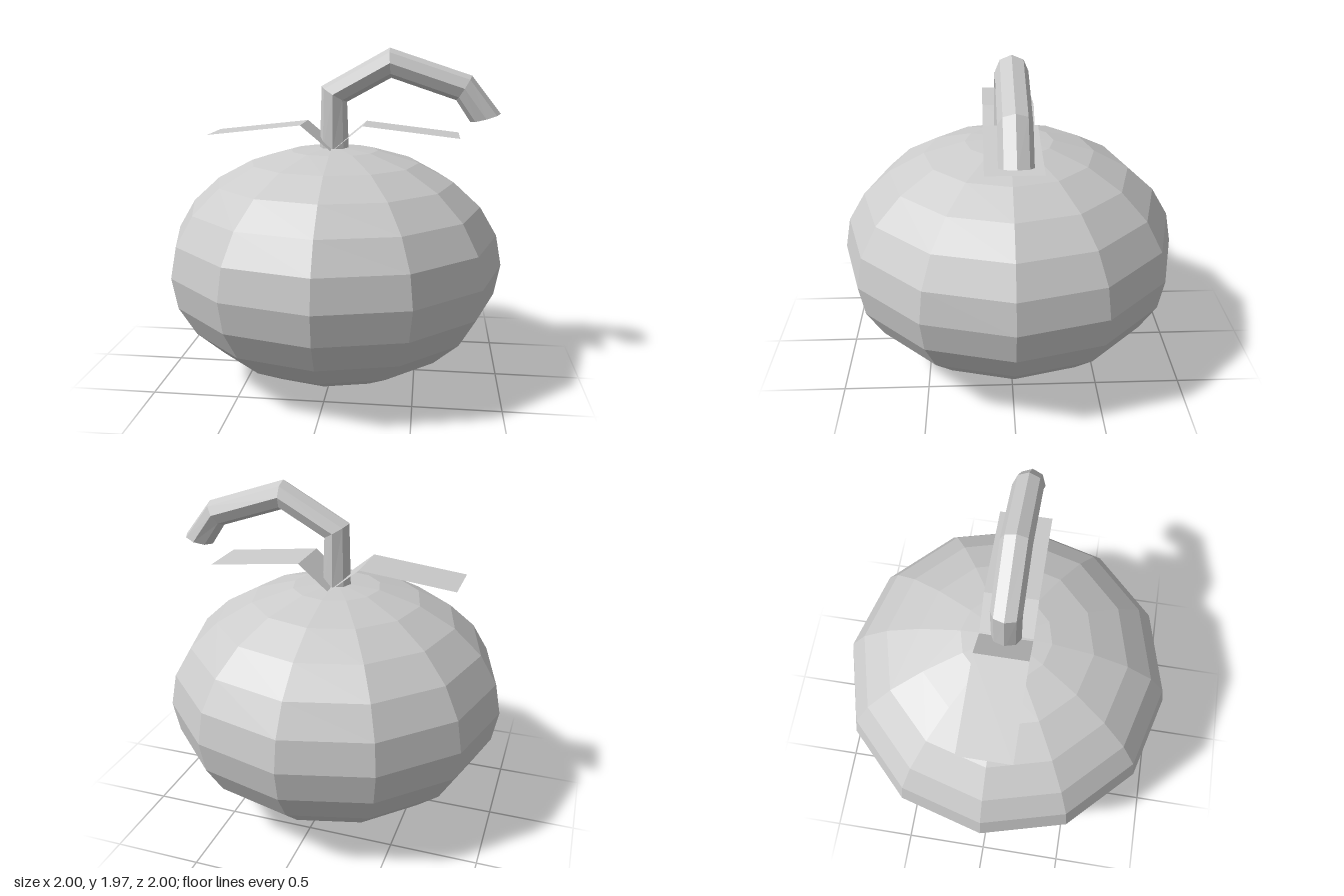
import * as THREE from 'three';

const material = new THREE.MeshStandardMaterial({ color: 0xcccccc, flatShading: true });
const leafMaterial = new THREE.MeshStandardMaterial({ color: 0xcccccc, flatShading: true, side: THREE.DoubleSide });

function buildGeometry(points, index) {
  const geometry = new THREE.BufferGeometry();
  geometry.setAttribute('position', new THREE.Float32BufferAttribute(points, 3));
  geometry.setIndex(index);
  geometry.computeVertexNormals();
  return geometry;
}

// Bent octagonal tube: each ring spans an outer and an inner point in the xy plane
function stemGeometry() {
  const rings = [
    [-0.086, 1.385, 0.086, 1.385],
    [-0.075, 1.75, 0.075, 1.66],
    [0.32, 1.97, 0.33, 1.8],
    [0.79, 1.815, 0.705, 1.675],
    [0.96, 1.6, 0.79, 1.55],
  ];
  const sides = 8, radius = 0.087, points = [], index = [];
  for (const [ox, oy, ix, iy] of rings) {
    for (let j = 0; j < sides; j++) {
      const a = (j / sides) * Math.PI * 2;
      const t = (1 + Math.cos(a)) / 2;
      points.push(ix + (ox - ix) * t, iy + (oy - iy) * t, radius * Math.sin(a));
    }
  }
  for (let i = 0; i < rings.length - 1; i++) {
    for (let j = 0; j < sides; j++) {
      const a = i * sides + j, b = i * sides + ((j + 1) % sides);
      index.push(a, b, b + sides, a, b + sides, a + sides);
    }
  }
  // End caps
  const last = (rings.length - 1) * sides;
  for (let j = 1; j < sides - 1; j++) {
    index.push(0, j + 1, j);
    index.push(last, last + j, last + j + 1);
  }
  return buildGeometry(points, index);
}

// Folded strip rising steeply from the stem, then sloping gently outward
function leafGeometry() {
  const profile = [[0.006, 1.39], [0.18, 1.535], [0.73, 1.472]];
  const halfWidth = 0.153, points = [], index = [];
  for (const [x, y] of profile) points.push(x, y, halfWidth, x, y, -halfWidth);
  for (let i = 0; i < profile.length - 1; i++) {
    const a = i * 2;
    index.push(a, a + 2, a + 3, a, a + 3, a + 1);
  }
  return buildGeometry(points, index);
}

export function createModel() {
  const model = new THREE.Group();
  model.name = 'pumpkin';

  const add = (name, geometry, mat = material) => {
    const mesh = new THREE.Mesh(geometry, mat);
    mesh.name = name;
    model.add(mesh);
    return mesh;
  };

  // Squashed faceted body
  add('body', new THREE.SphereGeometry(1, 12, 12).scale(1, 0.7, 1).translate(0, 0.7, 0));

  // Hooked stem
  add('stem', stemGeometry());

  // Pair of leaves on opposite sides of the stem
  add('leftLeaf', leafGeometry(), leafMaterial);
  add('rightLeaf', leafGeometry(), leafMaterial).rotation.y = Math.PI;

  return model;
}
